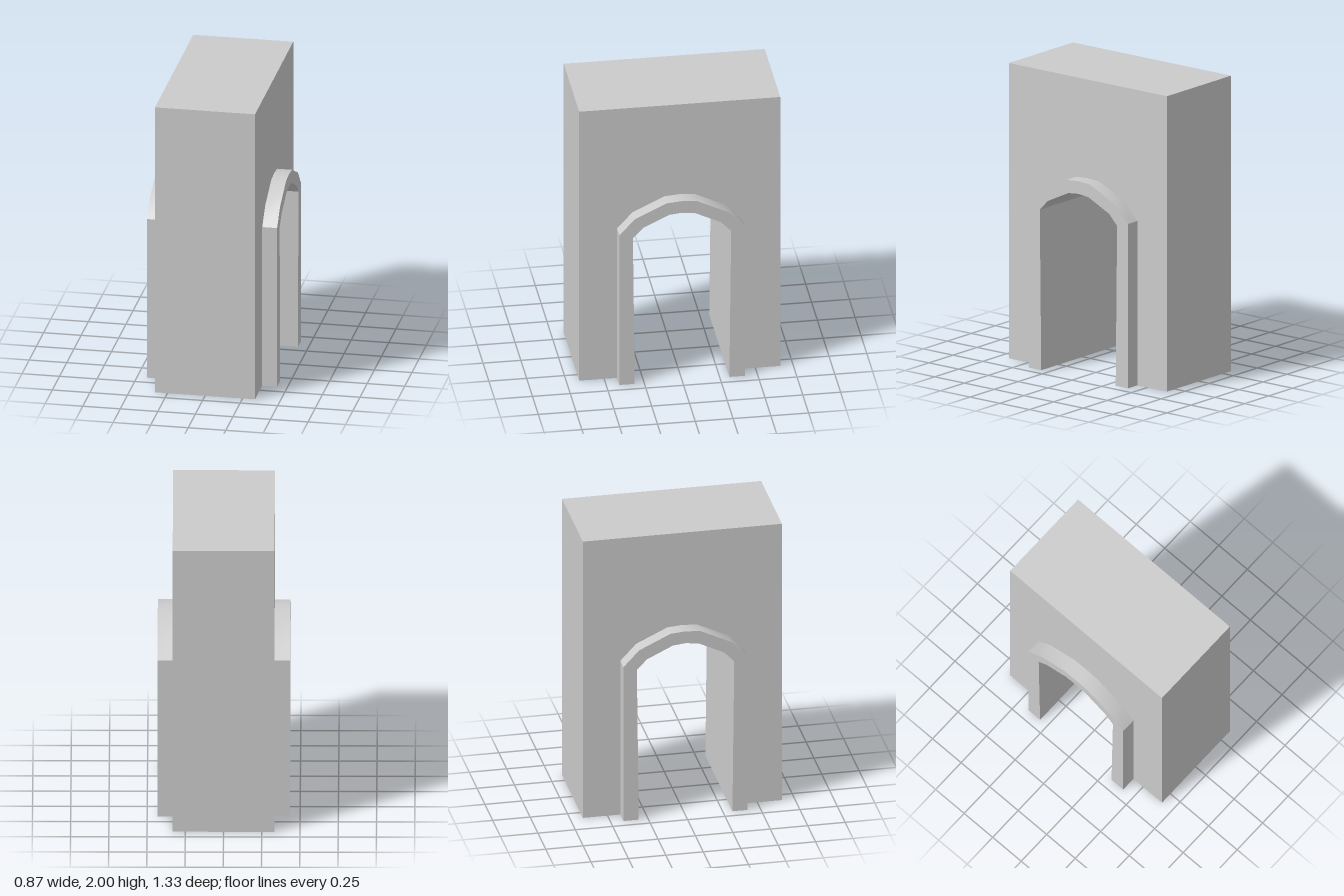
import * as THREE from 'three';
import { toCreasedNormals } from 'three/addons/utils/BufferGeometryUtils.js';

// Half profiles of the arch, from the ground up to the crown: [z, y]
const OUTER = [[0.415, 0], [0.415, 1.113], [0.31, 1.225], [0.1, 1.325], [0, 1.333]];
const INNER = [[0.313, 0], [0.325, 1.085], [0.258, 1.155], [0.085, 1.238], [0, 1.247]];
const WALL = [[0.665, 0], [0.665, 2]];

// Full outline, ground to ground, mirrored about z = 0
function mirrored(half) {
  const other = half.filter(([z]) => z > 0).reverse().map(([z, y]) => [-z, y]);
  return [...half, ...other].map(([z, y]) => new THREE.Vector2(z, y));
}

// Solid between two outlines, running across the model from x0 to x1
function archSolid(name, outer, inner, x0, x1, material) {
  const shape = new THREE.Shape([...mirrored(outer), ...mirrored(inner).reverse()]);
  const extruded = new THREE.ExtrudeGeometry(shape, { depth: x1 - x0, bevelEnabled: false });
  extruded.rotateY(Math.PI / 2).translate(x0, 0, 0);
  const mesh = new THREE.Mesh(toCreasedNormals(extruded, 0.5), material);
  mesh.name = name;
  return mesh;
}

export function createModel() {
  const group = new THREE.Group();
  group.name = 'archedGateway';
  const stone = new THREE.MeshStandardMaterial({ color: 0xcccccc });

  // Thick wall with the passage through it
  group.add(archSolid('wall', WALL, INNER, -0.333, 0.333, stone));

  // Raised trim around the passage on both faces
  group.add(archSolid('leftArchTrim', OUTER, INNER, 0.333, 0.432, stone));
  group.add(archSolid('rightArchTrim', OUTER, INNER, -0.434, -0.333, stone));
  return group;
}
